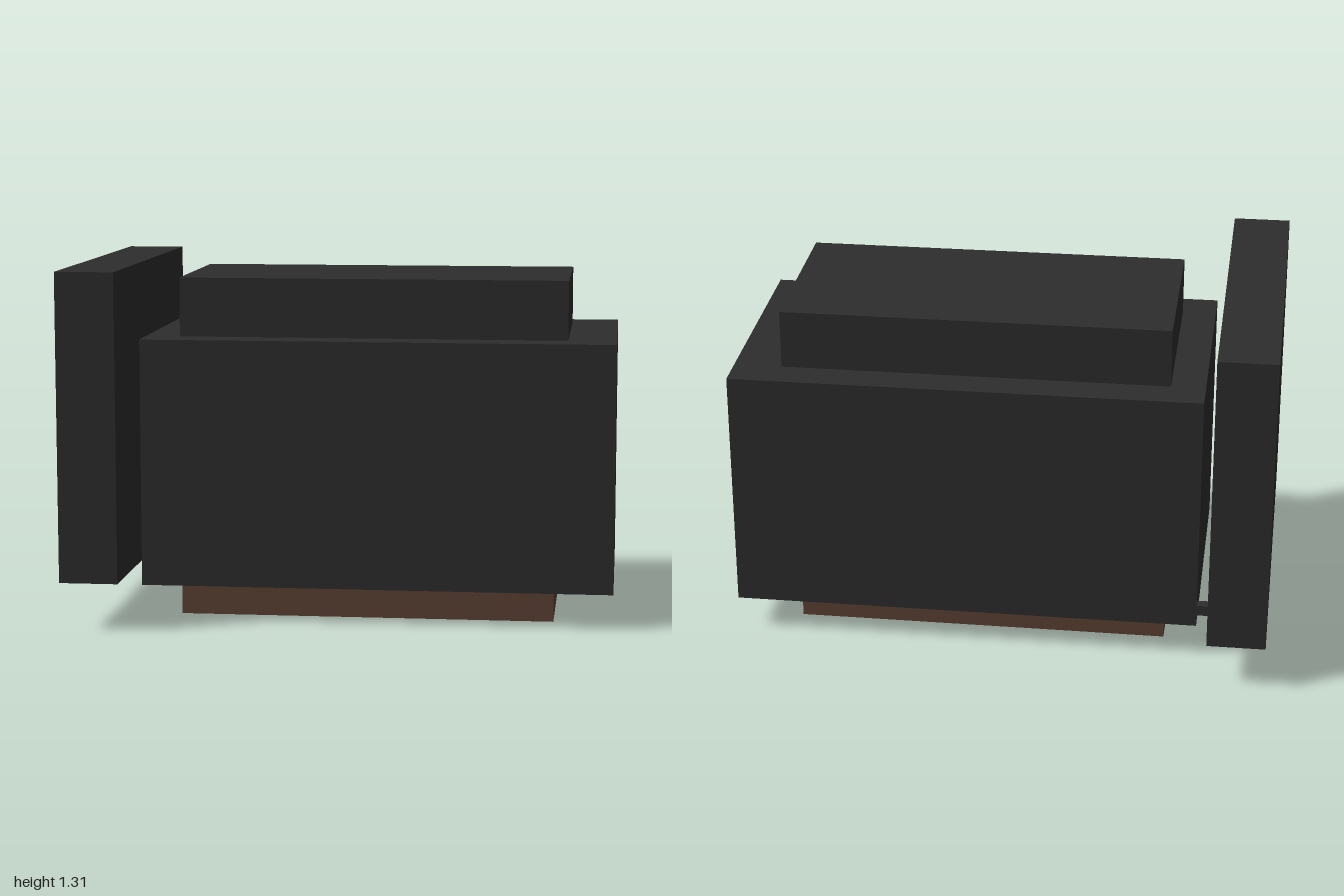
import * as THREE from 'three';

export function createModel() {
  const group = new THREE.Group();
  const charcoal = new THREE.MeshStandardMaterial({ color: 0x2d2d2d });
  charcoal.name = 'charcoal';
  const brown = new THREE.MeshStandardMaterial({ color: 0x5c4033 });
  brown.name = 'brown';

  // Box given by its extents on each axis
  function block(name, material, [x0, x1], [y0, y1], [z0, z1]) {
    const mesh = new THREE.Mesh(new THREE.BoxGeometry(x1 - x0, y1 - y0, z1 - z0), material);
    mesh.position.set((x0 + x1) / 2, (y0 + y1) / 2, (z0 + z1) / 2);
    mesh.name = name;
    group.add(mesh);
  }

  // Main body with its base below and raised slab on top
  block('body', charcoal, [-0.737, 1], [0.132, 1.045], [-0.478, 0.478]);
  block('base', brown, [-0.61, 0.78], [0, 0.132], [-0.347, 0.347]);
  block('topSlab', charcoal, [-0.61, 0.823], [1.045, 1.263], [-0.347, 0.347]);

  // Upright panel beside the body, joined by a small bar at the back
  block('sidePanel', charcoal, [-1, -0.785], [0.177, 1.307], [-0.695, 0.695]);
  block('connector', charcoal, [-0.785, -0.737], [0.177, 0.217], [-0.478, -0.438]);

  return group;
}
